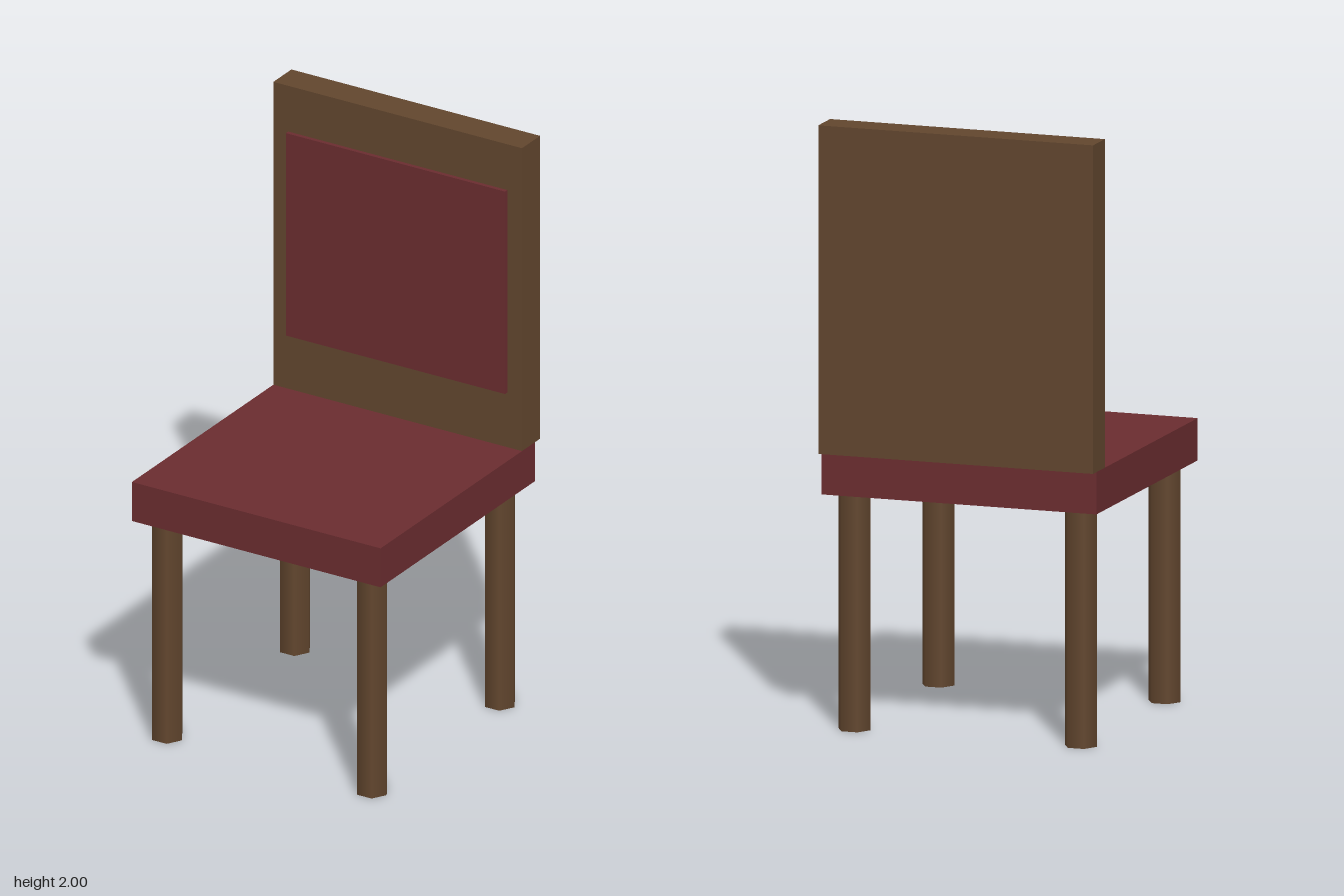
import * as THREE from 'three';

export function createModel() {
  const wood = new THREE.MeshStandardMaterial({ name: 'brown wood', color: 0x62462e });
  const fabric = new THREE.MeshStandardMaterial({ name: 'dark red upholstery', color: 0x6b2d30 });
  const chair = new THREE.Group();
  chair.name = 'chair';

  const add = (name, geometry, material, x, y, z) => {
    const mesh = new THREE.Mesh(geometry, material);
    mesh.name = name;
    mesh.position.set(x, y, z);
    chair.add(mesh);
  };
  // Box given by its width and its y and z ranges
  const slab = (name, material, width, y0, y1, z0, z1) =>
    add(name, new THREE.BoxGeometry(width, y1 - y0, z1 - z0), material, 0, (y0 + y1) / 2, (z0 + z1) / 2);

  slab('seat', fabric, 0.944, 0.781, 0.92, -0.455, 0.486);
  slab('backrest', wood, 0.944, 0.92, 2, -0.486, -0.376);
  slab('backPad', fabric, 0.832, 1.115, 1.837, -0.386, -0.362);

  // Six-sided legs, corners pointing sideways
  const legHeight = 0.781;
  const leg = new THREE.CylinderGeometry(0.055, 0.055, legHeight, 6, 1, false, Math.PI / 6);
  for (const [end, z] of [['front', 0.404], ['back', -0.374]]) {
    for (const [side, x] of [['Left', 0.389], ['Right', -0.389]]) {
      add(`${end}${side}Leg`, leg, wood, x, legHeight / 2, z);
    }
  }
  return chair;
}
